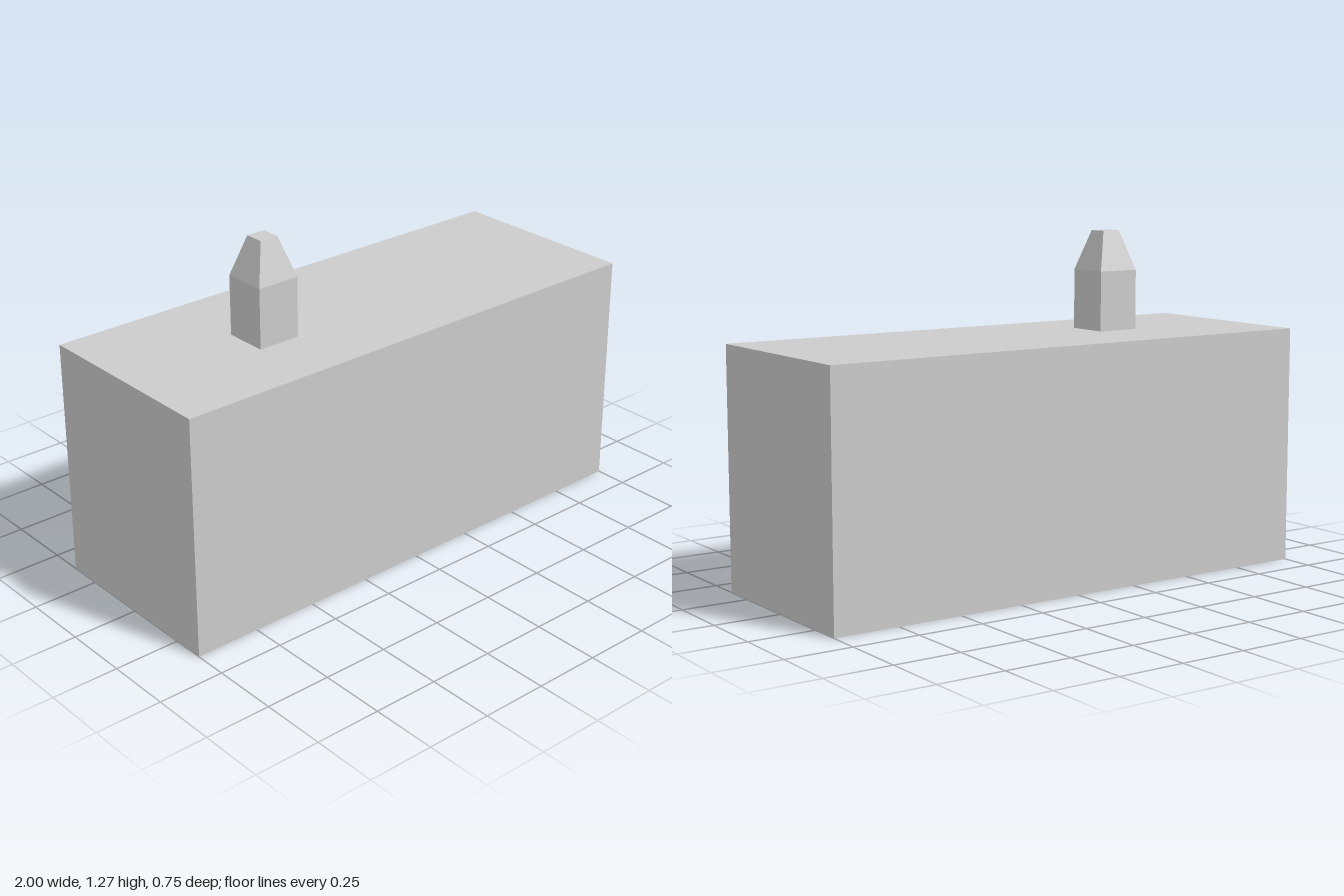
import * as THREE from 'three';

const WIDTH = 2, HEIGHT = 0.9, DEPTH = 0.75;

export function createModel() {
  const model = new THREE.Group();
  model.name = 'boxWithPost';
  const material = new THREE.MeshStandardMaterial({
    color: 0xcccccc, flatShading: true, side: THREE.DoubleSide,
  });

  const add = (parent, name, geometry, x, y, z) => {
    const mesh = new THREE.Mesh(geometry, material);
    mesh.name = name;
    mesh.position.set(x, y, z);
    parent.add(mesh);
    return mesh;
  };

  // Hollow casing of thin panels, open underneath
  const casing = new THREE.Group();
  casing.name = 'casing';
  model.add(casing);
  const panel = (w, h) => new THREE.PlaneGeometry(w, h);
  add(casing, 'frontPanel', panel(WIDTH, HEIGHT), 0, HEIGHT / 2, DEPTH / 2);
  add(casing, 'backPanel', panel(WIDTH, HEIGHT).rotateY(Math.PI), 0, HEIGHT / 2, -DEPTH / 2);
  for (const [name, side] of [['leftPanel', 1], ['rightPanel', -1]]) {
    add(casing, name, panel(DEPTH, HEIGHT).rotateY(side * Math.PI / 2), side * WIDTH / 2, HEIGHT / 2, 0);
  }
  add(casing, 'topPanel', panel(WIDTH, DEPTH).rotateX(-Math.PI / 2), 0, HEIGHT, 0);

  // Narrow strip lying almost flush on the back
  add(model, 'backStrip', panel(1.2, 0.05).rotateY(Math.PI), 0, 0.673, -DEPTH / 2 - 0.002);

  // Square post with a tapered, flat-topped cap
  const post = new THREE.Group();
  post.name = 'post';
  post.position.set(-0.418, HEIGHT, 0.028);
  model.add(post);
  const square = (top, bottom, height, open) =>
    new THREE.CylinderGeometry(top / Math.SQRT2, bottom / Math.SQRT2, height, 4, 1, open)
      .rotateY(Math.PI / 4);
  const shaftHeight = 0.225, capHeight = 0.148;
  add(post, 'postShaft', square(0.166, 0.166, shaftHeight, true), 0, shaftHeight / 2, 0);
  add(post, 'postCap', square(0.073, 0.166, capHeight, true), 0, shaftHeight + capHeight / 2, 0);
  add(post, 'postTop', panel(0.073, 0.073).rotateX(-Math.PI / 2), 0, shaftHeight + capHeight, 0);

  return model;
}
